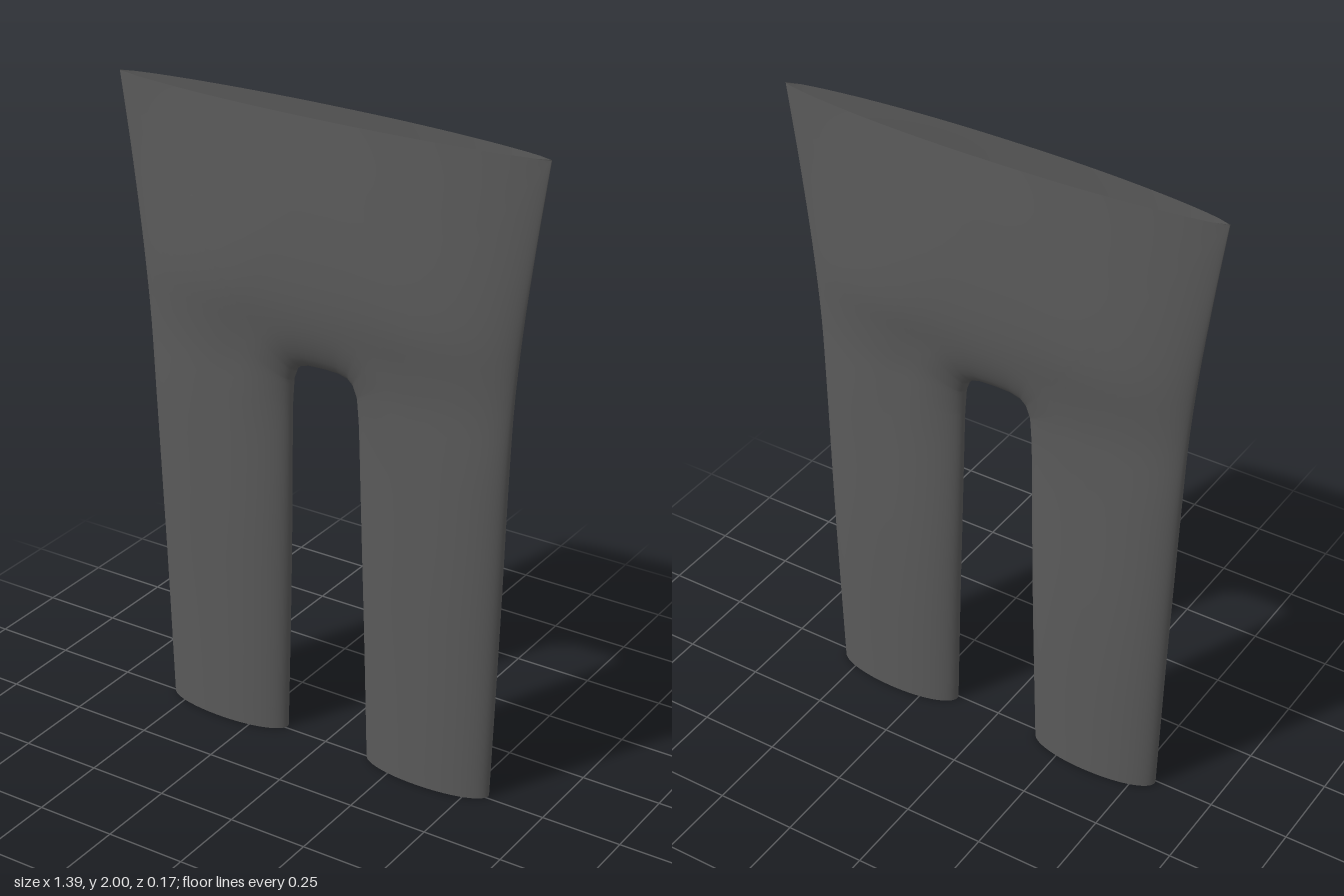
import * as THREE from 'three';
import { mergeVertices } from 'three/addons/utils/BufferGeometryUtils.js';

// Smooth lookup through [key, value] pairs (cubic Hermite with averaged slopes)
function lookup(table, y) {
  const n = table.length - 1;
  let i = 0;
  while (i < n - 1 && y > table[i + 1][0]) i++;
  const slope = (k) => {
    const a = table[Math.max(k - 1, 0)], b = table[Math.min(k + 1, n)];
    return (b[1] - a[1]) / (b[0] - a[0]);
  };
  const [y0, v0] = table[i], [y1, v1] = table[i + 1];
  const h = y1 - y0, t = (y - y0) / h, t2 = t * t, t3 = t2 * t;
  return v0 * (2 * t3 - 3 * t2 + 1) + v1 * (3 * t2 - 2 * t3)
    + slope(i) * h * (t3 - 2 * t2 + t) + slope(i + 1) * h * (t3 - t2);
}

// Profiles by height: outer half width, half thickness, depth offset
const WIDTH = [[0, 0.563], [0.6, 0.583], [1.2, 0.605], [1.45, 0.624], [1.75, 0.66], [2, 0.695]];
const DEPTH = [[0, 0.064], [0.6, 0.063], [1.2, 0.056], [1.32, 0.064], [1.45, 0.08], [1.6, 0.082], [1.8, 0.073], [2, 0.06]];
const SHIFT = [[0, -0.01], [0.5, -0.009], [1.2, 0], [2, 0]];

// Stations from the left hem up the inner leg to the crotch, each paired with
// a point on the outer side seam or the waist: [innerX, innerY, outerX, outerY, steps]
// (outerX of null means "on the side seam")
const STATIONS = [
  [0.145, 0, null, 0, 10], [0.125, 0.7, null, 0.7, 7], [0.115, 1.1, null, 1.12, 6],
  [0.11, 1.18, null, 1.5, 8], [0.098, 1.215, null, 2, 6], [0.082, 1.231, 0.45, 2, 5],
  [0.05, 1.24, 0.22, 2, 5], [0, 1.242, 0, 2, 0],
];

// Rounded edge: 0 on the seam, 1 at distance r and beyond
const rounded = (d, r, e) => Math.pow(1 - (1 - Math.min(Math.max(d / r, 0), 1)) ** 2, e);

function makeRays() {
  const rays = [];
  const { lerp } = THREE.MathUtils;
  STATIONS.forEach((p, k) => {
    const q = STATIONS[k + 1];
    for (let s = 0; s < (q ? p[4] : 1); s++) {
      const t = q ? s / p[4] : 0, n = q || p;
      const y = lerp(p[3], n[3], t);
      const onSeam = p[2] === null && n[2] === null;
      const x = onSeam ? lookup(WIDTH, y) : lerp(p[2] ?? lookup(WIDTH, p[3]), n[2] ?? 0, t);
      rays.push([lerp(p[0], n[0], t), lerp(p[1], n[1], t), x, y]);
    }
  });
  // Mirror onto the other leg
  const other = rays.slice(0, -1).reverse().map(([a, b, c, d]) => [-a, b, -c, d]);
  return rays.concat(other);
}

// Front and back sheets, joined along the seams, open at waist and hems
function makeShell() {
  const rays = makeRays(), M = 28, pos = [], index = [];
  for (const side of [1, -1]) {
    const base = pos.length / 3;
    rays.forEach(([ax, ay, bx, by], i) => {
      for (let j = 0; j <= M; j++) {
        const v = (1 - Math.cos(Math.PI * j / M)) / 2;
        const x = ax + (bx - ax) * v, y = ay + (by - ay) * v;
        const dIn = Math.hypot(x - ax, y - ay);
        const up = THREE.MathUtils.smoothstep(y, 1.0, 2);
        const w = lookup(WIDTH, y);
        const outer = rounded(w - Math.abs(x), 0.21 + 0.46 * up, 0.5 + 0.22 * up);
        const rIn = 0.2 - 0.06 * THREE.MathUtils.smoothstep(ay, 1.0, 1.24);
        const z = lookup(DEPTH, y) * outer * rounded(dIn, rIn, 0.5);
        pos.push(x, y, lookup(SHIFT, y) + side * z);
        if (i < rays.length - 1 && j < M) {
          const a = base + i * (M + 1) + j, b = a + 1, c = a + M + 1, d = c + 1;
          if (side > 0) index.push(a, b, c, b, d, c);
          else index.push(a, c, b, b, c, d);
        }
      }
    });
  }
  const geo = new THREE.BufferGeometry();
  geo.setAttribute('position', new THREE.Float32BufferAttribute(pos, 3));
  geo.setIndex(index);
  const welded = mergeVertices(geo, 1e-5);
  welded.computeVertexNormals();
  return welded;
}

export function createModel() {
  const group = new THREE.Group();
  group.name = 'leggings';
  const cloth = new THREE.MeshStandardMaterial({ color: 0x5a5a5a, side: THREE.DoubleSide });
  const shell = new THREE.Mesh(makeShell(), cloth);
  shell.name = 'fabricShell';
  group.add(shell);
  return group;
}
